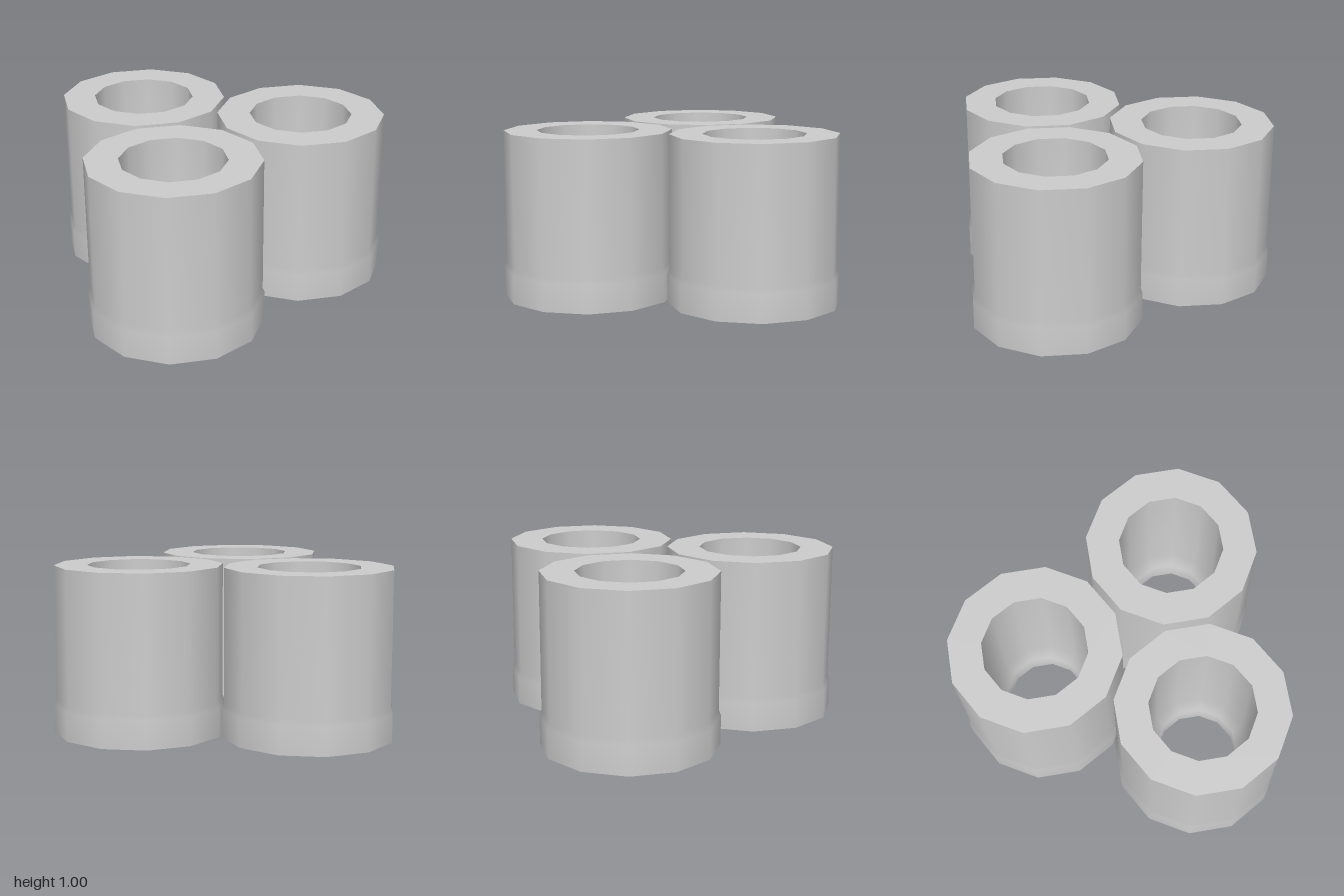
import * as THREE from 'three';
import { mergeGeometries } from 'three/addons/utils/BufferGeometryUtils.js';

const SIDES = 12;
const toCorner = 1 / Math.cos(Math.PI / SIDES); // flat-to-centre distance -> corner radius

// Lathe a [distance to flat, height] profile with flats facing the axes
function ring(profile) {
  const points = profile.map(([r, y]) => new THREE.Vector2(r * toCorner, y));
  return new THREE.LatheGeometry(points, SIDES, Math.PI / SIDES);
}

// Thick tube: each run is smooth, with sharp edges between runs
function tubeGeometry() {
  return mergeGeometries([
    ring([[0.495, 0], [0.495, 0.17], [0.483, 0.2], [0.483, 1]]),   // outer wall with foot lip
    ring([[0.483, 1], [0.295, 1]]),                                // top rim
    ring([[0.295, 1], [0.295, 0.18], [0.238, 0.13], [0.238, 0]]),  // stepped bore
    ring([[0.238, 0], [0.495, 0]]),                                // underside
  ]);
}

export function createModel() {
  const group = new THREE.Group();
  group.name = 'tubeCluster';
  const material = new THREE.MeshStandardMaterial({ color: 0xcccccc });
  const geometry = tubeGeometry();

  // Three tubes in a triangle
  const places = [
    ['backRightTube', -0.435, -0.505],
    ['frontRightTube', -0.435, 0.505],
    ['leftTube', 0.435, 0],
  ];
  for (const [name, x, z] of places) {
    const tube = new THREE.Mesh(geometry, material);
    tube.name = name;
    tube.position.set(x, 0, z);
    group.add(tube);
  }
  return group;
}
